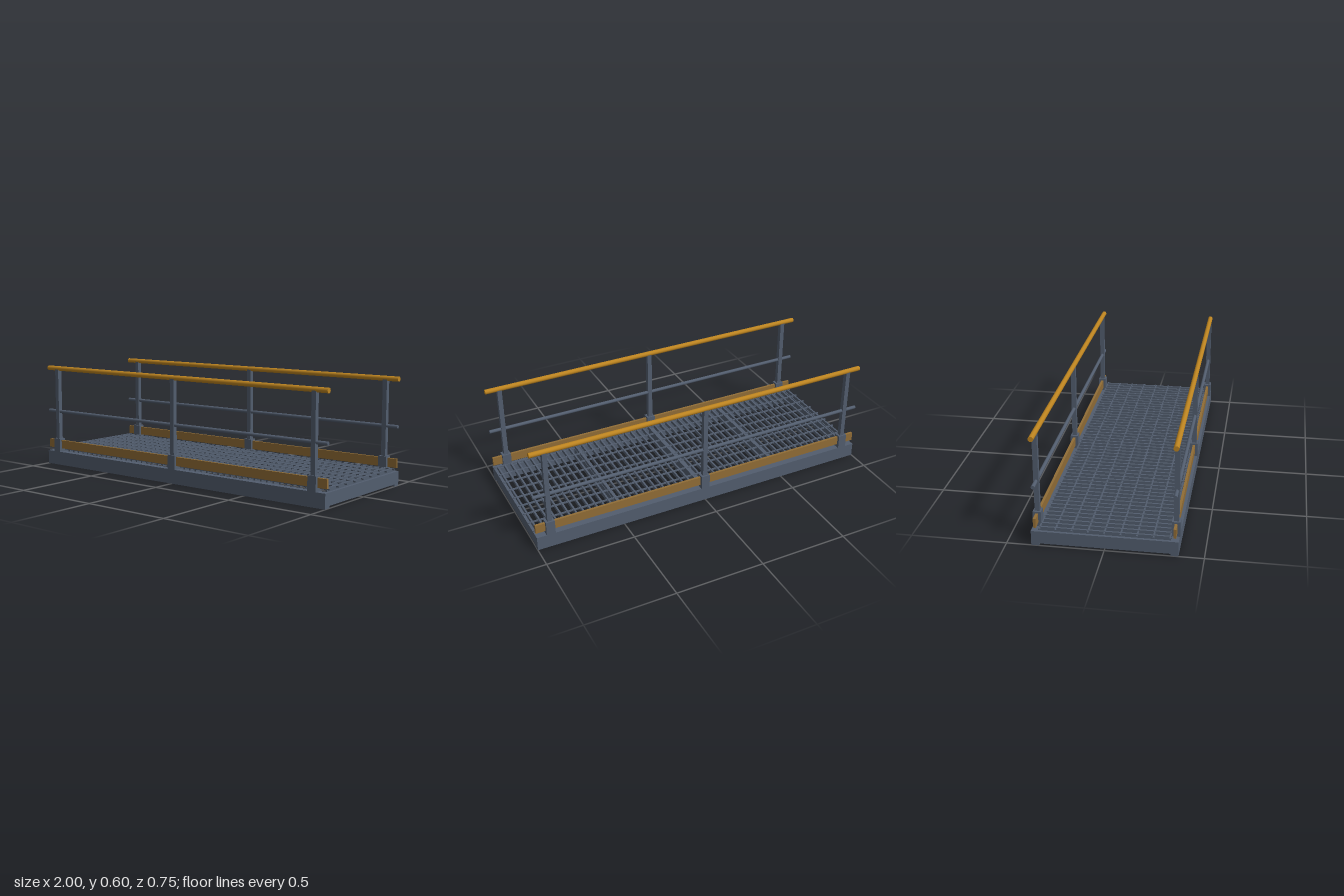
import * as THREE from 'three';

const steel = new THREE.MeshStandardMaterial({ color: 0x525d6e });
steel.name = 'slate steel';
const amber = new THREE.MeshStandardMaterial({ color: 0xbd8420 });
amber.name = 'amber handrail';
const ochre = new THREE.MeshStandardMaterial({ color: 0x916d36 });
ochre.name = 'ochre toe board';

const LENGTH = 2;
const SIDE_Z = 0.352; // centre line of each railing and side beam

export function createModel() {
  const model = new THREE.Group();
  model.name = 'walkway';

  function add(parent, name, geometry, material, x, y, z) {
    const mesh = new THREE.Mesh(geometry, material);
    mesh.name = name;
    mesh.position.set(x, y, z);
    parent.add(mesh);
    return mesh;
  }
  // Box given by its bottom and top heights
  function box(parent, name, material, w, y0, y1, d, x, z) {
    return add(parent, name, new THREE.BoxGeometry(w, y1 - y0, d), material, x, (y0 + y1) / 2, z);
  }
  // Round rail running the whole length
  function rail(parent, name, material, radius, y, z) {
    const geometry = new THREE.CylinderGeometry(radius, radius, LENGTH, 16);
    geometry.rotateZ(Math.PI / 2);
    return add(parent, name, geometry, material, 0, y, z);
  }

  // Frame: cross members between the side beams
  const frame = new THREE.Group();
  frame.name = 'frame';
  model.add(frame);
  for (let i = -2; i <= 2; i++) {
    box(frame, 'crossMember', steel, 0.03, 0.012, 0.08, 0.664, i * 0.4925, 0);
  }

  // Open grating: upright bars across, thin rods lengthwise
  const grating = new THREE.Group();
  grating.name = 'grating';
  model.add(grating);
  for (let i = 0; i < 50; i++) {
    box(grating, 'gratingBar', steel, 0.01, 0.08, 0.1, 0.664, -0.98 + i * 0.04, 0);
  }
  for (let i = -4; i <= 4; i++) {
    box(grating, 'gratingRod', steel, LENGTH, 0.09, 0.098, 0.008, 0, i * 0.0823);
  }

  // Side beam and railing, once for each side
  for (const side of [-1, 1]) {
    const z = side * SIDE_Z;
    box(frame, 'sideBeam', steel, LENGTH, 0, 0.08, 0.04, 0, z);

    const railing = new THREE.Group();
    railing.name = side > 0 ? 'frontRailing' : 'backRailing';
    model.add(railing);
    box(railing, 'toeBoard', ochre, LENGTH, 0.1, 0.15, 0.014, 0, z);
    for (const x of [-0.92, 0, 0.92]) {
      box(railing, 'postSocket', steel, 0.05, 0.08, 0.16, 0.043, x, z);
      box(railing, 'post', steel, 0.026, 0.16, 0.585, 0.026, x, z);
    }
    rail(railing, 'midRail', steel, 0.01, 0.326, z);
    rail(railing, 'handrail', amber, 0.014, 0.586, z);
  }
  return model;
}
